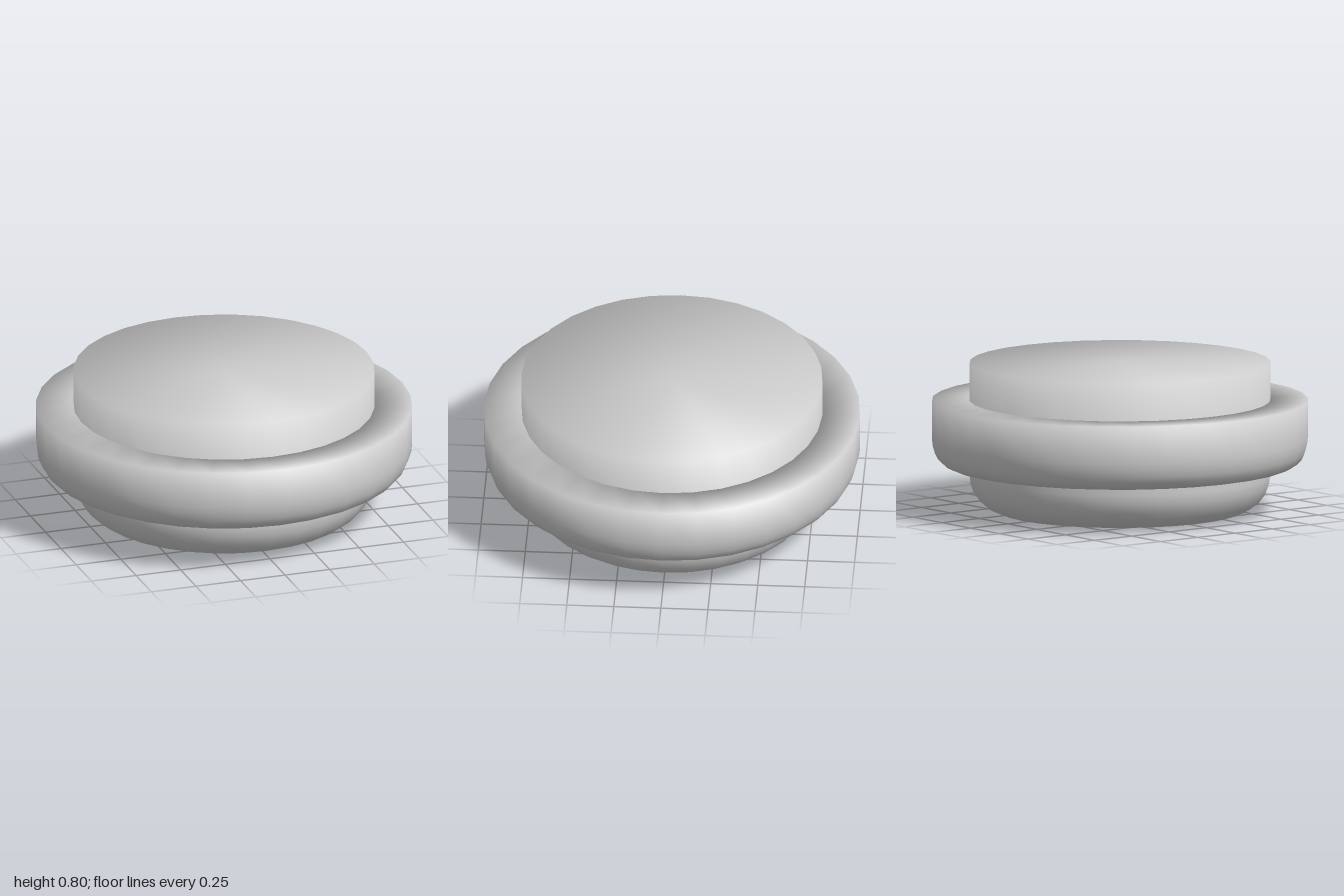
import * as THREE from 'three';

const SIDES = 32;

// Revolve a profile of [radius, height] pairs, listed from bottom to top on the outside.
function turned(name, profile) {
  const points = profile.map(([r, y]) => new THREE.Vector2(r, y));
  const mesh = new THREE.Mesh(
    new THREE.LatheGeometry(points, SIDES),
    new THREE.MeshStandardMaterial({ color: 0xcccccc })
  );
  mesh.name = name;
  return mesh;
}

export function createModel() {
  const model = new THREE.Group();
  model.name = 'collaredDrum';

  // Solid drum with a rounded lower edge
  const radius = 0.8, round = 0.2, steps = 6;
  const drum = [[0, 0]];
  for (let i = 0; i <= steps; i++) {
    const a = (i / steps) * Math.PI / 2;
    drum.push([radius - round + round * Math.sin(a), round - round * Math.cos(a)]);
  }
  drum.push([radius, 0.8], [0, 0.8]);
  model.add(turned('drum', drum));

  // Wide collar around the middle, rounded underneath, closed by a hidden inner wall
  model.add(turned('collar', [
    [0.79, 0.243], [0.88, 0.245], [0.915, 0.252], [0.945, 0.266], [0.97, 0.292],
    [0.985, 0.323], [0.996, 0.36], [1, 0.4], [1, 0.6], [0.79, 0.6], [0.79, 0.243],
  ]));

  return model;
}
